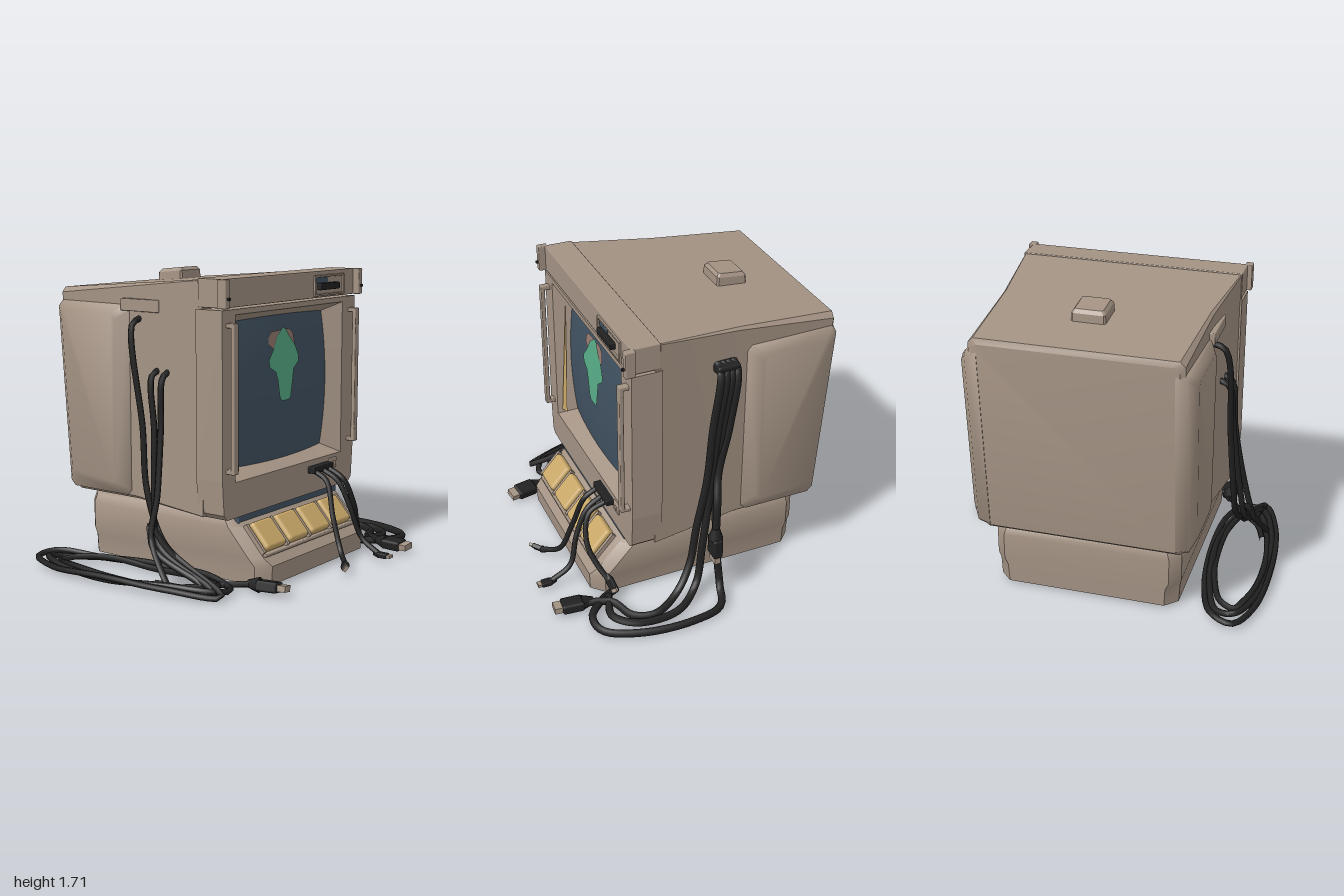
import * as THREE from 'three';
import { toCreasedNormals } from 'three/addons/utils/BufferGeometryUtils.js';
import { RoundedBoxGeometry } from 'three/addons/geometries/RoundedBoxGeometry.js';

const mat = (name, color, side = THREE.FrontSide) => {
  const m = new THREE.MeshStandardMaterial({ color, side });
  m.name = name;
  return m;
};
const V = (x, y, z) => new THREE.Vector3(x, y, z);

// Skin over rings of points; counter-clockwise seen from the direction of travel
function loft(rings, caps = true, crease = 0.5) {
  const pos = [], n = rings[0].length;
  const tri = (...p) => p.forEach(v => pos.push(v.x, v.y, v.z));
  for (let r = 0; r < rings.length - 1; r++) for (let i = 0; i < n; i++) {
    const j = (i + 1) % n, a = rings[r], b = rings[r + 1];
    tri(a[i], a[j], b[j]);
    tri(a[i], b[j], b[i]);
  }
  if (caps) for (let i = 1; i < n - 1; i++) {
    const a = rings[0], b = rings[rings.length - 1];
    tri(a[0], a[i + 1], a[i]);
    tri(b[0], b[i], b[i + 1]);
  }
  const g = new THREE.BufferGeometry();
  g.setAttribute('position', new THREE.Float32BufferAttribute(pos, 3));
  g.computeVertexNormals();
  return toCreasedNormals(g, crease);
}

// Rectangle with cut corners, as [u, v] pairs
const cutRect = (u0, u1, v0, v1, c) => [
  [u0 + c, v0], [u1 - c, v0], [u1, v0 + c], [u1, v1 - c],
  [u1 - c, v1], [u0 + c, v1], [u0, v1 - c], [u0, v0 + c]];

// Screen: centre, half sizes, bulging surface and bowed outline
const SX = -0.01, SY = 1.04, SW = 0.475, SH = 0.42;
const screenZ = (x, y) => 0.34 - 0.03 * (((x - SX) / SW) ** 2 + ((y - SY) / SH) ** 2);
const bowed = (u, v, w, h, bow) => [SX + w * u * (1 - bow * v * v), SY + h * v * (1 - bow * u * u)];
function outline(w, h, bow, z) {
  const pts = [], n = 8;
  for (let s = 0; s < 4; s++) for (let i = 0; i < n; i++) {
    const t = -1 + 2 * i / n;
    const [u, v] = [[t, -1], [1, t], [-t, 1], [-1, -t]][s];
    const [x, y] = bowed(u, v, w, h, bow);
    pts.push(V(x, y, z ?? screenZ(x, y)));
  }
  return pts;
}

export function createModel() {
  const root = new THREE.Group();
  root.name = 'computerTerminal';
  const shell = mat('beige shell', 0xa49384), glass = mat('slate glass', 0x425363);
  const amber = mat('amber keys', 0xc8a768, THREE.DoubleSide), black = mat('black rubber', 0x212121);
  const green = mat('green image', 0x58ad88, THREE.DoubleSide), pink = mat('dull pink image', 0x957a70, THREE.DoubleSide);
  const add = (name, geo, m, parent = root) => {
    const mesh = new THREE.Mesh(geo, m);
    mesh.name = name;
    parent.add(mesh);
    return mesh;
  };
  const box = (name, x0, x1, y0, y1, z0, z1, m = shell, r = 0.006) => {
    const mesh = add(name, new RoundedBoxGeometry(x1 - x0, y1 - y0, z1 - z0, 1, r), m);
    mesh.position.set((x0 + x1) / 2, (y0 + y1) / 2, (z0 + z1) / 2);
  };

  // Cabinet, narrowing and leaning toward the back
  const section = (zt, zb, hw, y0, y1, c) => cutRect(-hw, hw, y0, y1, c)
    .map(([x, y]) => V(x, y, zt + (zb - zt) * (y1 - y) / (y1 - y0)));
  add('cabinet', loft([
    section(-0.872, -0.79, 0.565, 0.42, 1.57, 0.03), section(-0.855, -0.76, 0.59, 0.395, 1.6, 0.03),
    section(-0.27, -0.27, 0.604, 0.405, 1.647, 0.015), section(0.25, 0.25, 0.657, 0.385, 1.69, 0.004)]), shell);

  // Raised rear panels on both sides
  const panel = (x, zf, zb, y0, y1, c) => cutRect(-zf, -zb, y0, y1, c)
    .map(([w, y]) => V(x, y, -w + (w > 0.6 ? (1.5 - y) * 0.07 : 0)));
  const panelGeo = loft([panel(0.54, -0.3, -0.87, 0.41, 1.54, 0.02),
    panel(0.61, -0.32, -0.865, 0.42, 1.52, 0.03), panel(0.652, -0.39, -0.81, 0.5, 1.47, 0.03)], true, 0.9);
  for (const s of [1, -1]) add('sidePanel', panelGeo, shell).scale.x = s;
  box('sideVent', -0.633, -0.59, 1.49, 1.56, -0.36, -0.08);

  // Front frame with the screen opening
  const frame = new THREE.Shape([[-0.62, 0.38], [0.62, 0.38], [0.65, 0.41], [0.664, 0.6], [0.664, 1.53],
    [-0.664, 1.53], [-0.664, 0.6], [-0.65, 0.41]].map(p => new THREE.Vector2(...p)));
  frame.holes.push(new THREE.Path(outline(0.535, 0.46, 0, 0).map(p => new THREE.Vector2(p.x, p.y))));
  add('frontFrame', new THREE.ExtrudeGeometry(frame, { depth: 0.18, bevelEnabled: false }), shell).position.z = 0.21;
  // Bezel sloping from the frame in to the glass
  add('bezel', loft([outline(0.535, 0.46, 0, 0.39), outline(SW, SH, 0.03)], false), shell);
  const screen = new THREE.PlaneGeometry(2, 2, 16, 16), sp = screen.attributes.position;
  for (let i = 0; i < sp.count; i++) {
    const [x, y] = bowed(sp.getX(i), sp.getY(i), SW, SH, 0.03);
    sp.setXYZ(i, x, y, screenZ(x, y));
  }
  screen.computeVertexNormals();
  add('screen', screen, glass);

  // Flat picture that follows the glass
  const picture = (name, pts, m, lift) => {
    const g = new THREE.ShapeGeometry(new THREE.Shape(pts.map(p => new THREE.Vector2(...p))));
    const p = g.attributes.position;
    for (let i = 0; i < p.count; i++) p.setZ(i, screenZ(p.getX(i), p.getY(i)) + lift);
    g.computeVertexNormals();
    add(name, g, m);
  };
  picture('screenImageBack', [[-0.16, 1.3], [-0.155, 1.34], [-0.12, 1.37], [0.05, 1.375], [0.09, 1.35],
    [0.1, 1.29], [0.07, 1.26], [-0.1, 1.26]], pink, 0.006);
  picture('screenImage', [[-0.02, 1.385], [0.01, 1.38], [0.045, 1.33], [0.1, 1.27], [0.13, 1.21], [0.125, 1.18], [0.07, 1.14],
    [0.06, 1.08], [0.04, 0.98], [0.02, 0.965], [-0.05, 0.965], [-0.07, 0.99], [-0.09, 1.09], [-0.11, 1.14],
    [-0.165, 1.17], [-0.17, 1.21], [-0.12, 1.27], [-0.08, 1.34]], green, 0.011);
  const strip = new THREE.BufferGeometry().setFromPoints([V(-0.484, 1.4, 0.332), V(-0.517, 0.625, 0.368), V(-0.468, 0.625, 0.355)]);
  strip.computeVertexNormals();
  add('amberStrip', strip, amber);

  // Upright rails beside the screen
  for (const s of [-1, 1]) {
    const x = s * 0.61;
    box('rail', x - 0.022, x + 0.022, 0.64, 1.46, 0.42, 0.445);
    for (const y of [0.64, 1.435]) box('railMount', x - 0.022, x + 0.022, y, y + 0.025, 0.37, 0.43);
    box('cornerCap', s * 0.665 - 0.022, s * 0.665 + 0.022, 1.54, 1.695, 0.37, 0.43);
    box('capPin', s * 0.665 - 0.008, s * 0.665 + 0.008, 1.585, 1.6, 0.42, 0.445, black, 0.003);
  }

  // Top band with its slot, and the cap on the roof
  box('topBand', -0.66, 0.66, 1.54, 1.695, 0.22, 0.39);
  box('slotBack', 0.23, 0.35, 1.625, 1.66, 0.38, 0.396, glass, 0.002);
  box('slotConnector', 0.25, 0.45, 1.585, 1.625, 0.38, 0.42, black);
  for (const y of [1.55, 1.66]) box('slotLip', 0.21, 0.53, y, y + 0.012, 0.385, 0.402, shell, 0.003);
  for (const x of [0.21, 0.518]) box('slotLip', x, x + 0.012, 1.55, 1.672, 0.385, 0.402, shell, 0.003);
  const cap = (y, e) => cutRect(-0.075 - e, 0.115 + e, -0.55 - e, -0.37 + e, 0.01).map(([x, z]) => V(x, y + (0.46 + z) * 0.1, z)).reverse();
  add('roofCap', loft([cap(1.58, 0.005), cap(1.68, 0), cap(1.7, -0.015)]), shell);

  // Thin-walled hollow base with sloping front
  const plan = (y, hw, zf, zb, c) => cutRect(-hw, hw, -zf, -zb, c).map(([x, v]) => V(x, y, -v));
  add('base', loft([plan(0.375, 0.48, 0.29, -0.67, 0.06), plan(0.3, 0.52, 0.35, -0.69, 0.06),
    plan(0.165, 0.525, 0.505, -0.695, 0.06), plan(0.012, 0.515, 0.555, -0.7, 0.06),
    plan(0.012, 0.535, 0.58, -0.72, 0.07), plan(0.12, 0.54, 0.585, -0.722, 0.07), plan(0.165, 0.55, 0.54, -0.722, 0.06),
    plan(0.32, 0.55, 0.4, -0.722, 0.06), plan(0.37, 0.53, 0.35, -0.712, 0.055), plan(0.395, 0.5, 0.32, -0.69, 0.05)], true, 0.6), shell);
  box('baseStrip', -0.5, 0.5, 0.335, 0.385, 0.345, 0.378, glass);
  box('innerPlate', -0.524, -0.515, 0.18, 0.29, -0.35, -0.1, glass, 0.002);
  box('baseLip', -0.48, 0.48, 0.165, 0.185, 0.5, 0.55);
  [-0.365, -0.14, 0.085, 0.31].forEach(x => {
    const key = add('key', new RoundedBoxGeometry(0.19, 0.18, 0.06, 3, 0.022), amber);
    key.position.set(x, 0.262, 0.474);
    key.rotation.x = -0.73;
  });
  [-0.48, -0.252, -0.027, 0.198, 0.425].forEach(x => {
    const bar = add('keyDivider', new THREE.BoxGeometry(0.02, 0.19, 0.05), shell);
    bar.position.set(x, 0.25, 0.465);
    bar.rotation.x = -0.73;
  });

  // Front socket and button
  box('socket', 0.17, 0.38, 0.505, 0.545, 0.38, 0.435, black);
  box('buttonFrame', 0.395, 0.47, 0.495, 0.56, 0.38, 0.4);
  box('button', 0.42, 0.45, 0.51, 0.54, 0.39, 0.407);

  // Cables and plugs
  const cable = (name, pts, r) => {
    const curve = new THREE.CatmullRomCurve3(pts.map(p => V(...p)), false, 'centripetal');
    add(name, new THREE.TubeGeometry(curve, pts.length * 7, r, 7), black);
  };
  const plug = (at, dir, size = 1) => {
    const g = new THREE.Group();
    g.name = 'plug';
    add('plugBody', new RoundedBoxGeometry(0.1, 0.13, 0.06, 1, 0.015), black, g);
    add('plugCollar', new THREE.CylinderGeometry(0.045, 0.022, 0.07, 8), black, g).position.y = -0.09;
    add('plugTip', new THREE.BoxGeometry(0.075, 0.05, 0.035), shell, g).position.y = 0.085;
    g.scale.setScalar(size);
    g.position.set(...at);
    g.quaternion.setFromUnitVectors(V(0, 1, 0), V(...dir).normalize());
    root.add(g);
  };

  // Three leads from the front socket
  cable('frontLead', [[0.2, 0.52, 0.41], [0.2, 0.47, 0.5], [0.165, 0.27, 0.57], [0.13, 0.08, 0.65], [0.04, 0.035, 0.74]], 0.016);
  cable('frontLead', [[0.28, 0.52, 0.41], [0.29, 0.46, 0.52], [0.31, 0.3, 0.6], [0.345, 0.12, 0.66], [0.345, 0.04, 0.78]], 0.016);
  cable('frontLead', [[0.34, 0.52, 0.41], [0.34, 0.46, 0.53], [0.4, 0.3, 0.57], [0.48, 0.19, 0.54], [0.56, 0.12, 0.5]], 0.016);
  plug([0.02, 0.035, 0.75], [-0.8, 0, 0.6], 0.5);
  plug([0.345, 0.035, 0.81], [0, 0, 1], 0.5);
  plug([0.575, 0.1, 0.49], [0.6, -0.7, -0.2], 0.5);

  // Bundle on the left side, fanning out over the floor
  const floorEnds = [
    [[0.695, 0.45, 0.01], [0.72, 0.22, 0.06], [0.77, 0.08, 0.16], [0.85, 0.04, 0.33], [0.8, 0.03, 0.45], [0.66, 0.04, 0.52], [0.6, 0.04, 0.68]],
    [[0.72, 0.35, -0.02], [0.76, 0.08, 0.04], [0.87, 0.03, 0.2], [0.87, 0.03, 0.45], [0.76, 0.03, 0.56], [0.6, 0.04, 0.52]],
    [[0.74, 0.3, -0.1], [0.8, 0.06, -0.1], [0.92, 0.025, -0.05], [0.975, 0.025, 0.15], [0.95, 0.025, 0.45],
      [0.85, 0.025, 0.65], [0.73, 0.03, 0.67], [0.6, 0.03, 0.55], [0.55, 0.03, 0.45]]];
  floorEnds.forEach((end, i) => cable('leftCable', [[0.62, 1.47, -0.13 - i * 0.03], [0.675, 1.44, -0.125 - i * 0.032],
    [0.69, 1.1, -0.08 - i * 0.032], [0.69, 0.75, -0.05 - i * 0.03], ...end], 0.023));
  cable('hangingCable', [[0.62, 1.47, -0.22], [0.68, 1.44, -0.22], [0.705, 1.1, -0.17], [0.71, 0.8, -0.11],
    [0.77, 0.63, -0.08], [0.785, 0.42, -0.07]], 0.023);
  plug([0.785, 0.36, -0.07], [0, -1, 0]);
  plug([0.59, 0.04, 0.74], [-0.1, 0, 1]);
  box('leftSocket', 0.6, 0.69, 1.42, 1.48, -0.24, -0.105, black, 0.015);

  // Coils on the right side, each fed by a hanging lead
  const feeds = [[1.45, -0.24], [1.17, -0.1], [1.17, -0.02]];
  feeds.forEach(([top, z], k) => {
    const pts = [[-0.6, top, z], [-0.67, top - 0.03, z], [-0.7, 0.85, z * 0.6], [-0.72 - 0.02 * k, 0.5, z * 0.5 + 0.02],
      [-0.73 - 0.05 * k, 0.22, 0.03]];
    for (let i = 0; i <= 17 - k * 3; i++) {
      const a = 0.4 + i * Math.PI / 5, f = 1.04 - 0.12 * k - 0.012 * i, c = Math.cos(a);
      pts.push([-0.79 - 0.195 * f * Math.sin(a) + 0.04 * c, 0.025 + 0.012 * ((i + k) % 3), -0.15 + 0.69 * f * c]);
    }
    cable('rightCable', pts, 0.018);
  });
  cable('standingLoop', [[-0.9, 0.03, 0.2], [-0.84, 0.2, 0.05], [-0.79, 0.33, -0.02], [-0.76, 0.2, 0.08], [-0.72, 0.04, 0.3], [-0.6, 0.04, 0.52]], 0.018);
  plug([-0.565, 0.04, 0.63], [0.2, 0, 1]);
  return root;
}
